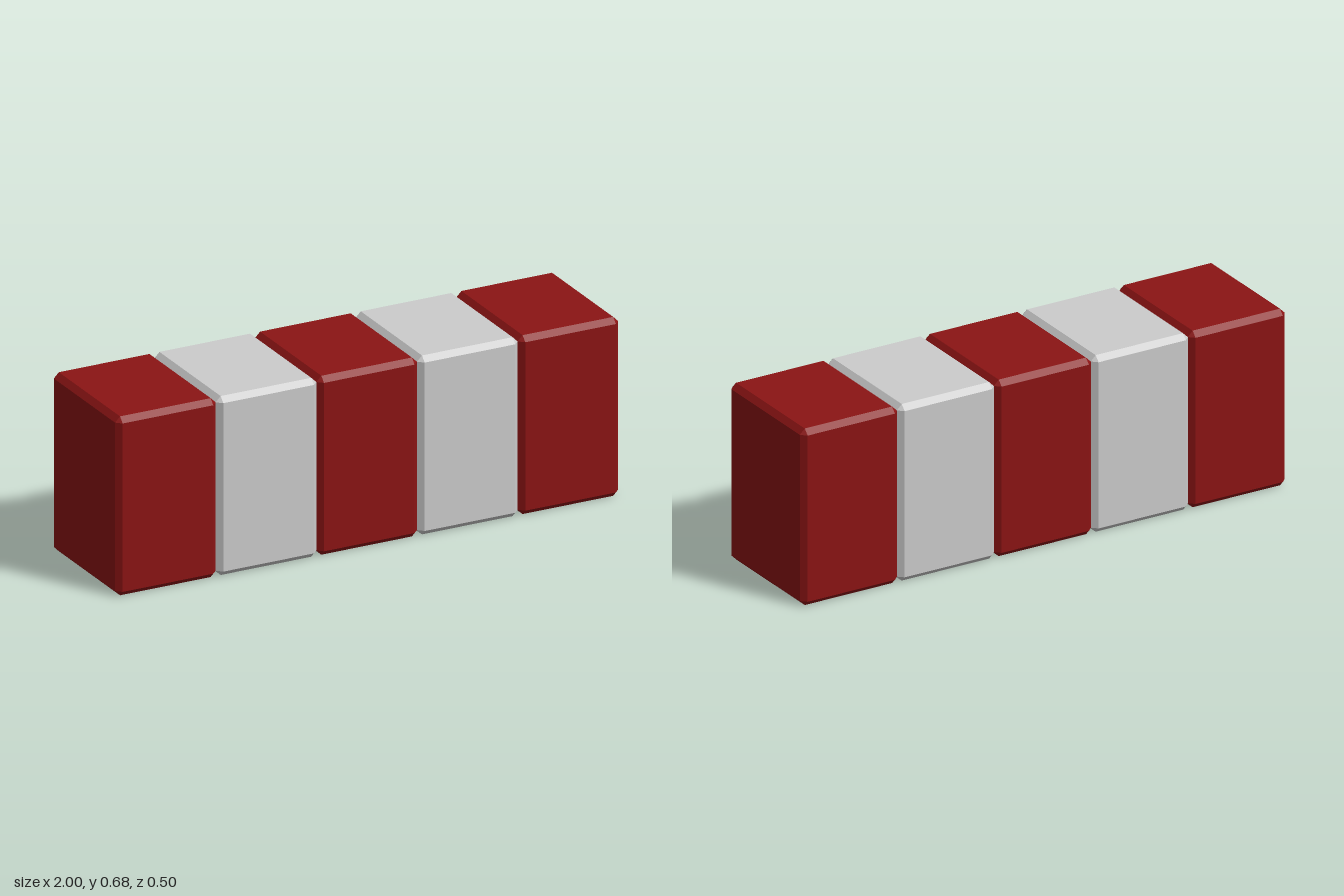
import * as THREE from 'three';
import { ConvexGeometry } from 'three/addons/geometries/ConvexGeometry.js';

// Box with flat 45 degree chamfers on every edge and corner
function chamferedBox(w, h, d, c) {
  const points = [];
  for (const sx of [-1, 1]) for (const sy of [-1, 1]) for (const sz of [-1, 1]) {
    const x = w / 2, y = h / 2, z = d / 2;
    points.push(
      new THREE.Vector3(sx * x, sy * (y - c), sz * (z - c)),
      new THREE.Vector3(sx * (x - c), sy * y, sz * (z - c)),
      new THREE.Vector3(sx * (x - c), sy * (y - c), sz * z)
    );
  }
  return new ConvexGeometry(points);
}

export function createModel() {
  const group = new THREE.Group();
  group.name = 'stripedBarrier';

  const width = 0.4, height = 0.68, depth = 0.5, chamfer = 0.02;
  const red = new THREE.MeshStandardMaterial({ color: 0x8b1414, flatShading: true });
  const grey = new THREE.MeshStandardMaterial({ color: 0xcccccc, flatShading: true });
  const block = chamferedBox(width, height, depth, chamfer);

  // Row of five blocks in alternating colours
  for (let i = 0; i < 5; i++) {
    const isRed = i % 2 === 0;
    const mesh = new THREE.Mesh(block, isRed ? red : grey);
    mesh.name = `${isRed ? 'red' : 'grey'}Block${i + 1}`;
    mesh.position.set((i - 2) * width, height / 2, 0);
    group.add(mesh);
  }
  return group;
}
